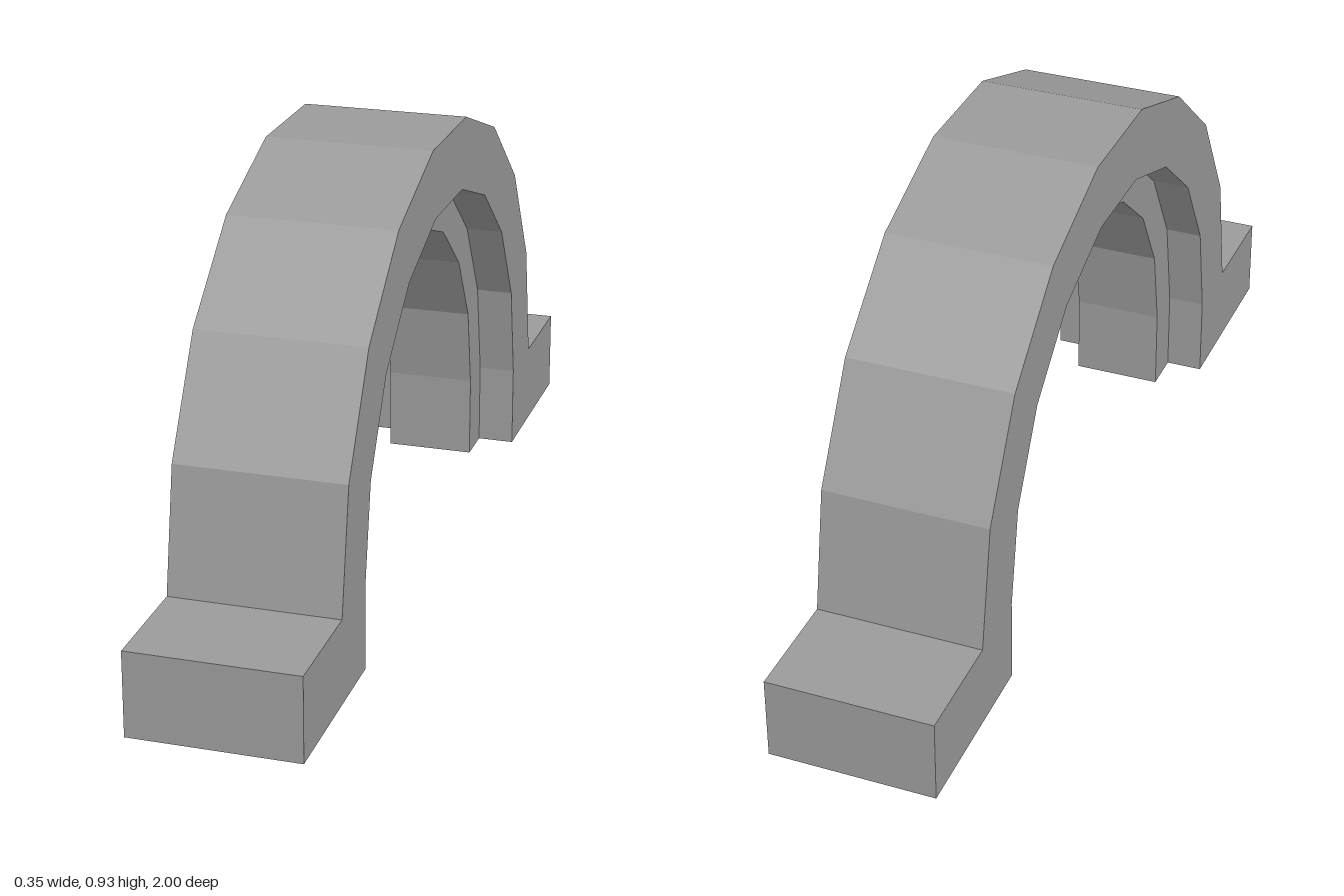
import * as THREE from 'three';

const SPRING = 0.181;    // height where the arch curve starts
const R_OUTER = 0.76, R_MID = 0.606, R_INNER = 0.515;
const STEPS = 9;         // flat facets over the half circle

// Half-circle points from +side to -side, in (depth, height)
function arc(radius) {
  return Array.from({ length: STEPS + 1 }, (_, i) => {
    const a = (i / STEPS) * Math.PI;
    return new THREE.Vector2(radius * Math.cos(a), SPRING + radius * Math.sin(a));
  });
}

// Extrudes a side profile across x, centred
function slab(name, points, width, material) {
  const geometry = new THREE.ExtrudeGeometry(new THREE.Shape(points), { depth: width, bevelEnabled: false });
  geometry.translate(0, 0, -width / 2);
  geometry.rotateY(-Math.PI / 2);
  const mesh = new THREE.Mesh(geometry, material);
  mesh.name = name;
  return mesh;
}

export function createModel() {
  const group = new THREE.Group();
  group.name = 'archClamp';
  const material = new THREE.MeshStandardMaterial({ color: 0x9b9b9b, flatShading: true });
  const v = (z, y) => new THREE.Vector2(z, y);

  // Wide strap with a flat foot at each end
  const strap = [
    v(R_MID, 0), v(1, 0), v(1, SPRING),
    ...arc(R_OUTER),
    v(-1, SPRING), v(-1, 0), v(-R_MID, 0),
    ...arc(R_MID).reverse(),
  ];
  group.add(slab('strapWithFeet', strap, 0.355, material));

  // Narrow rib lining the inside of the strap
  const rib = [
    v(R_INNER, 0), v(R_MID, 0),
    ...arc(R_MID),
    v(-R_MID, 0), v(-R_INNER, 0),
    ...arc(R_INNER).reverse(),
  ];
  group.add(slab('innerRib', rib, 0.194, material));

  return group;
}
